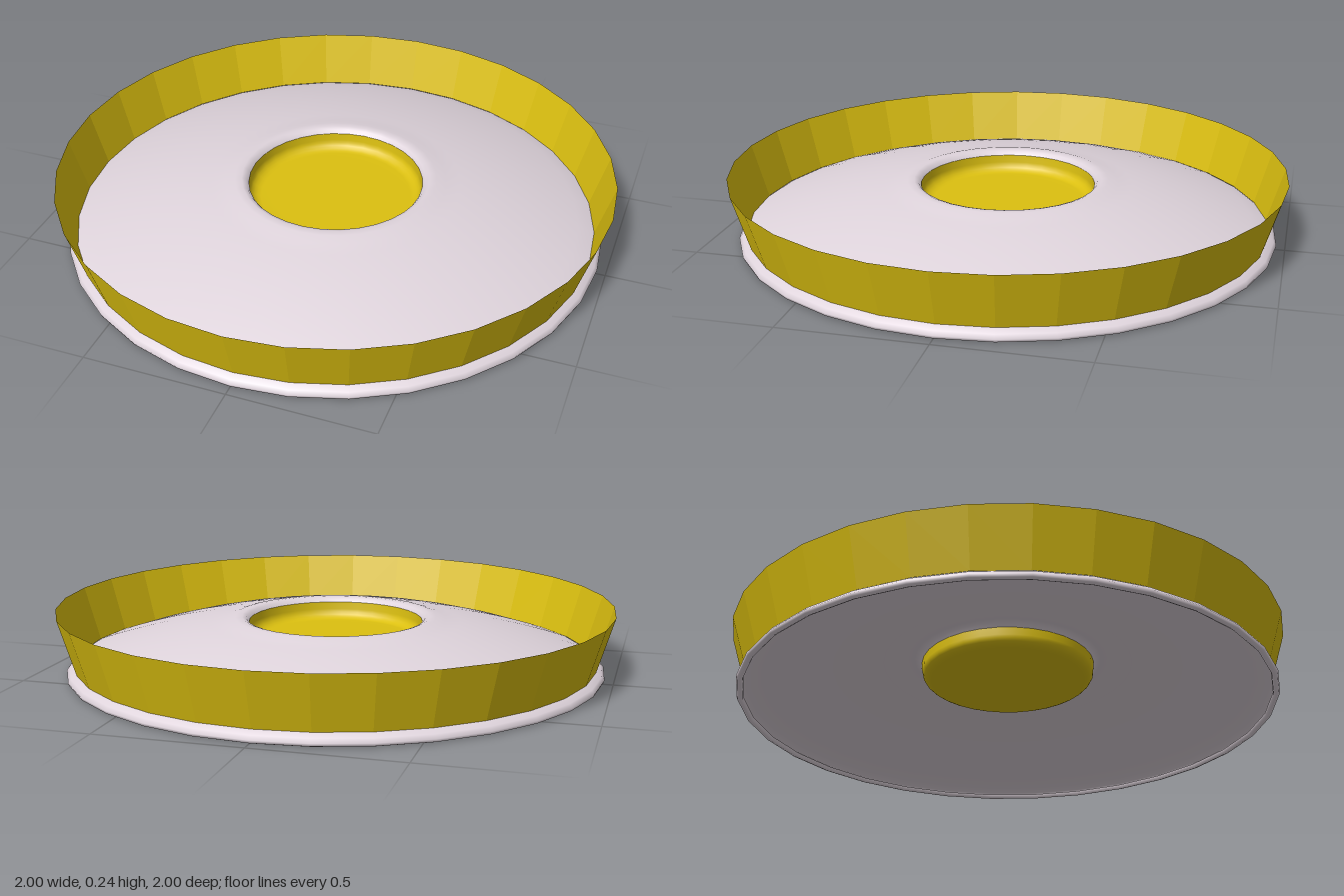
import * as THREE from 'three';

const SIDES = 32;

// Thin surface of revolution from [radius, height] pairs
function turned(name, points, color, flatShading = false) {
  const profile = points.map(([r, y]) => new THREE.Vector2(r, y));
  const mesh = new THREE.Mesh(
    new THREE.LatheGeometry(profile, SIDES),
    new THREE.MeshStandardMaterial({ color, flatShading, side: THREE.DoubleSide })
  );
  mesh.name = name;
  return mesh;
}

export function createModel() {
  const group = new THREE.Group();
  group.name = 'dish';
  const yellow = 0xdcc010, pale = 0xdfd4dc;

  // Shallow domed plate: rolled rim, convex top, lip curling into the centre hole
  const plate = [[0.945, 0.015], [0.947, 0.004], [0.955, 0], [0.966, 0.004], [0.97, 0.014], [0.96, 0.027], [0.935, 0.042]];
  for (let i = 1; i <= 10; i++) {
    const r = 0.935 - 0.535 * (i / 10);
    plate.push([r, 0.21 - 0.192 * r * r]);
  }
  plate.push([0.365, 0.189], [0.34, 0.19], [0.325, 0.185], [0.315, 0.172]);
  group.add(turned('plate', plate, pale));

  // Recessed cup with a rounded floor edge
  const cup = [[0.315, 0.172], [0.313, 0.145]];
  for (let i = 1; i <= 5; i++) {
    const a = (i / 5) * Math.PI / 2;
    cup.push([0.273 + 0.04 * Math.cos(a), 0.145 - 0.035 * Math.sin(a)]);
  }
  cup.push([0.2, 0.11], [0, 0.11]);
  group.add(turned('centreCup', cup, yellow));

  // Flared, faceted wall
  group.add(turned('flaredWall', [[0.94, 0.04], [1, 0.237]], yellow, true));

  return group;
}
